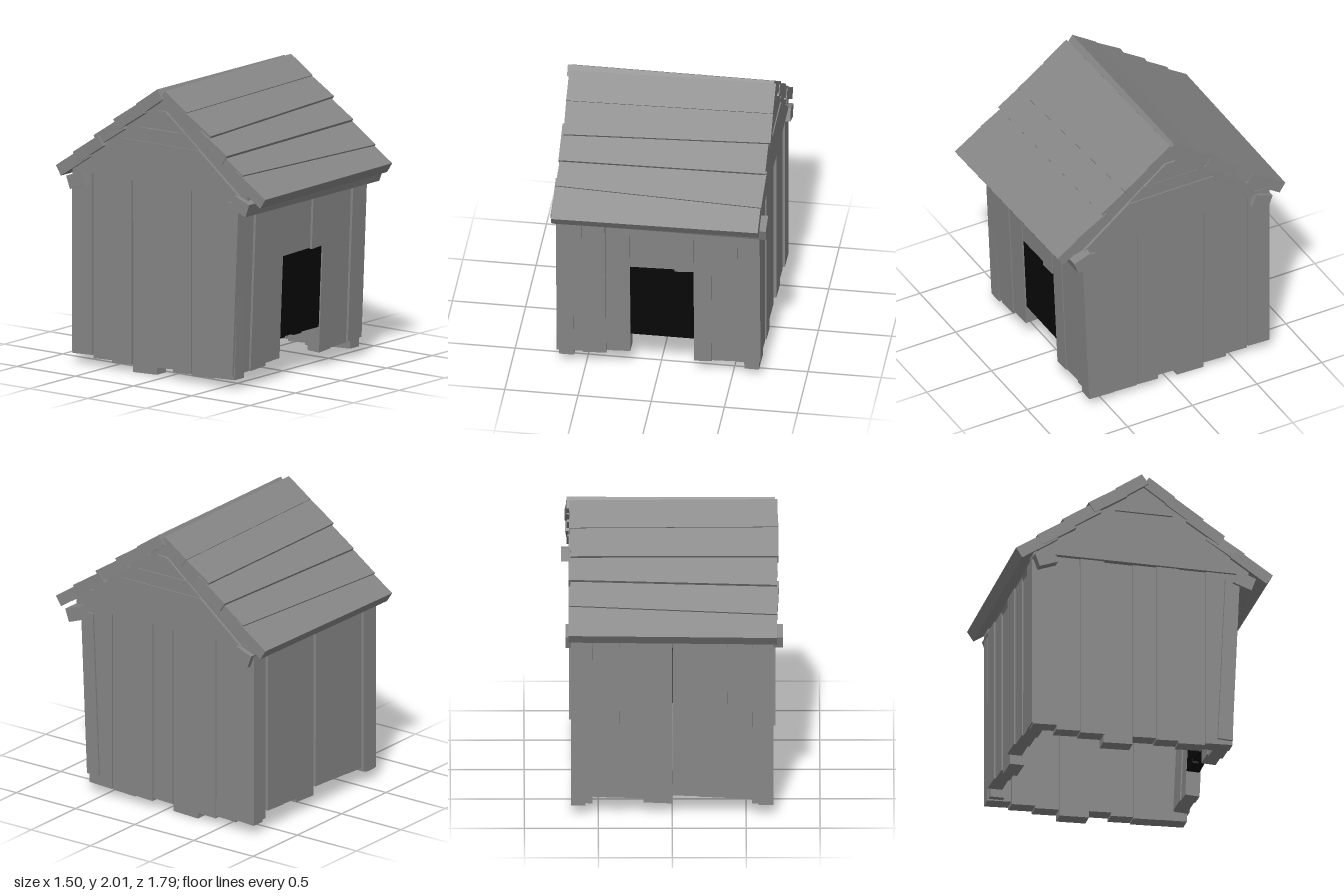
import * as THREE from 'three';

const wood = new THREE.MeshStandardMaterial({ color: 0x868686, flatShading: true });
const black = new THREE.MeshStandardMaterial({ color: 0x080808, flatShading: true });

// Flat board cut to an outline in the XY plane, thickness towards +z
function cutBoard(name, points, depth) {
  const shape = new THREE.Shape(points.map(([x, y]) => new THREE.Vector2(x, y)));
  const mesh = new THREE.Mesh(
    new THREE.ExtrudeGeometry(shape, { depth, bevelEnabled: false }), wood);
  mesh.name = name;
  return mesh;
}

function box(name, w, h, d, x, y, z, rx = 0, ry = 0, material = wood) {
  const mesh = new THREE.Mesh(new THREE.BoxGeometry(w, h, d), material);
  mesh.name = name;
  mesh.position.set(x, y, z);
  mesh.rotation.set(rx, ry, 0);
  return mesh;
}

// Vertical plank: left, right, bottom, top, with a slight taper at the top
function plank(name, [a, b, y0, y1, taper = 0], depth) {
  return cutBoard(name, [[a, y0], [b, y0 + 0.008], [b - taper, y1], [a, y1]], depth);
}

function namedGroup(name) {
  const g = new THREE.Group();
  g.name = name;
  return g;
}

// Front wall leans slightly outwards at the top
function frontWall() {
  const g = namedGroup('frontWall');
  const planks = [
    [-0.7, -0.52, 0.1, 1.3, 0.004], [-0.52, -0.36, 0.11, 1.3, 0.004], [-0.36, -0.195, 0.135, 1.3],
    [-0.195, 0.11, 0.85, 1.3, 0.003], [0.11, 0.24, 0.85, 1.3],
    [0.24, 0.36, 0.105, 1.3], [0.36, 0.545, 0.115, 1.3, 0.004], [0.545, 0.695, 0.13, 1.3],
  ];
  planks.forEach((p, i) => {
    const m = plank('frontPlank', p, 0.1);
    m.position.z = 0.51 + ((i * 2) % 3) * 0.008;
    m.rotation.x = 0.043;
    g.add(m);
  });
  return g;
}

function backWall() {
  const g = namedGroup('backWall');
  const planks = [
    [-0.68, -0.54, 0.08, 1.3, 0.003], [-0.54, -0.37, 0.11, 1.3, 0.004], [-0.37, -0.19, 0.125, 1.3, 0.003],
    [-0.19, 0.0, 0.14, 1.3, 0.004], [0.0, 0.195, 0.08, 1.3], [0.195, 0.36, 0.12, 1.3, 0.004],
    [0.36, 0.54, 0.13, 1.3, 0.003], [0.54, 0.68, 0.08, 1.3],
  ];
  planks.forEach((p, i) => {
    const m = plank('backPlank', p, 0.1);
    m.position.z = -0.78 + ((i * 2) % 3) * 0.009;
    g.add(m);
  });
  return g;
}

// Side wall with planks of uneven length and a boarded gable above
function sideWall(side) {
  const g = namedGroup(side > 0 ? 'leftWall' : 'rightWall');
  const planks = [ // the last value is the distance of the inner face
    [0.43, 0.62, 0.06, 1.36, -0.04, 0.582], [0.245, 0.43, 0.045, 1.36, 0, 0.57],
    [0.09, 0.245, 0.05, 1.36, 0.003, 0.58], [-0.07, 0.09, 0.06, 1.36, 0, 0.565],
    [-0.275, -0.07, 0.0, 1.36, 0, 0.555], [-0.44, -0.27, 0.045, 1.36, 0.003, 0.575],
    [-0.605, -0.44, 0.053, 1.36, 0.003, 0.568], [-0.77, -0.605, 0.07, 1.36, 0, 0.585],
  ];
  const place = (m, inner, depth) => {
    m.rotation.y = -Math.PI / 2;
    m.position.x = side > 0 ? inner + depth : -inner;
    g.add(m);
  };
  planks.forEach((p) => place(plank('sidePlank', p, 0.1), p[5], 0.1));

  // Gable boards, each clipped by the roof slope
  const half = (y) => 0.68 * (1 - (y - 1.34) / 0.54);
  [[1.34, 1.62, 0.12], [1.62, 1.715, 0.112], [1.721, 1.85, 0.116]].forEach(([y0, y1, d]) => {
    const a = half(y0), b = half(y1);
    place(cutBoard('gableBoard', [[-a, y0], [a, y0], [b, y1], [-b, y1]], d), 0.58, d);
  });

  // Rafters closing the gap under the roof
  for (const s of [1, -1]) {
    const pts = [[s * 0.73, 1.29], [s * 0.73, 1.4], [0, 1.93], [0, 1.81]];
    place(cutBoard('rafter', s > 0 ? pts : pts.reverse(), 0.09), 0.59, 0.09);
  }
  return g;
}

// One roof slope of lapped, slightly crooked boards
function roofSlope(name, yaws) {
  const g = namedGroup(name);
  const boards = [ // lower edge z, y, board length, pitch
    [0.89, 1.362, 0.3, 0.58], [0.72, 1.488, 0.27, 0.57], [0.555, 1.62, 0.27, 0.57],
    [0.395, 1.745, 0.27, 0.57], [0.205, 1.875, 0.22, 0.6],
  ];
  const t = 0.08;
  boards.forEach(([z, y, len, a], i) => {
    const c = Math.cos(a), s = Math.sin(a);
    g.add(box('roofBoard', 1.41, t, len, 0.01 + ((i * 3) % 5 - 2) * 0.003,
      y + s * len / 2 - c * t / 2, z - c * len / 2 - s * t / 2, a, yaws[i]));
  });
  // Eaves beam, tipped outwards
  g.add(box('eavesBeam', 1.47, 0.095, 0.135, 0.015, 1.287, 0.695, 0.35));
  return g;
}

// Dark door panel with uneven slats behind it
function door() {
  const g = namedGroup('door');
  g.add(box('doorPanel', 0.435, 0.57, 0.06, 0.0225, 0.565, 0.602, 0.043, 0, black));
  [-0.1, -0.01, 0.08, 0.16].forEach((x, i) => {
    const bottom = 0.25 + (i % 2) * 0.012;
    g.add(box('doorSlat', 0.084, 0.84 - bottom, 0.04, x, (0.84 + bottom) / 2, 0.555, 0.043, 0, black));
  });
  return g;
}

export function createModel() {
  const model = namedGroup('woodenHut');
  const backSlope = roofSlope('backRoof', [-0.012, -0.05, -0.03, 0.002, 0.006]);
  backSlope.rotation.y = Math.PI;
  model.add(
    frontWall(), backWall(), sideWall(1), sideWall(-1), door(),
    roofSlope('frontRoof', [0.012, -0.03, 0.015, 0.04, 0.018]), backSlope);
  return model;
}
